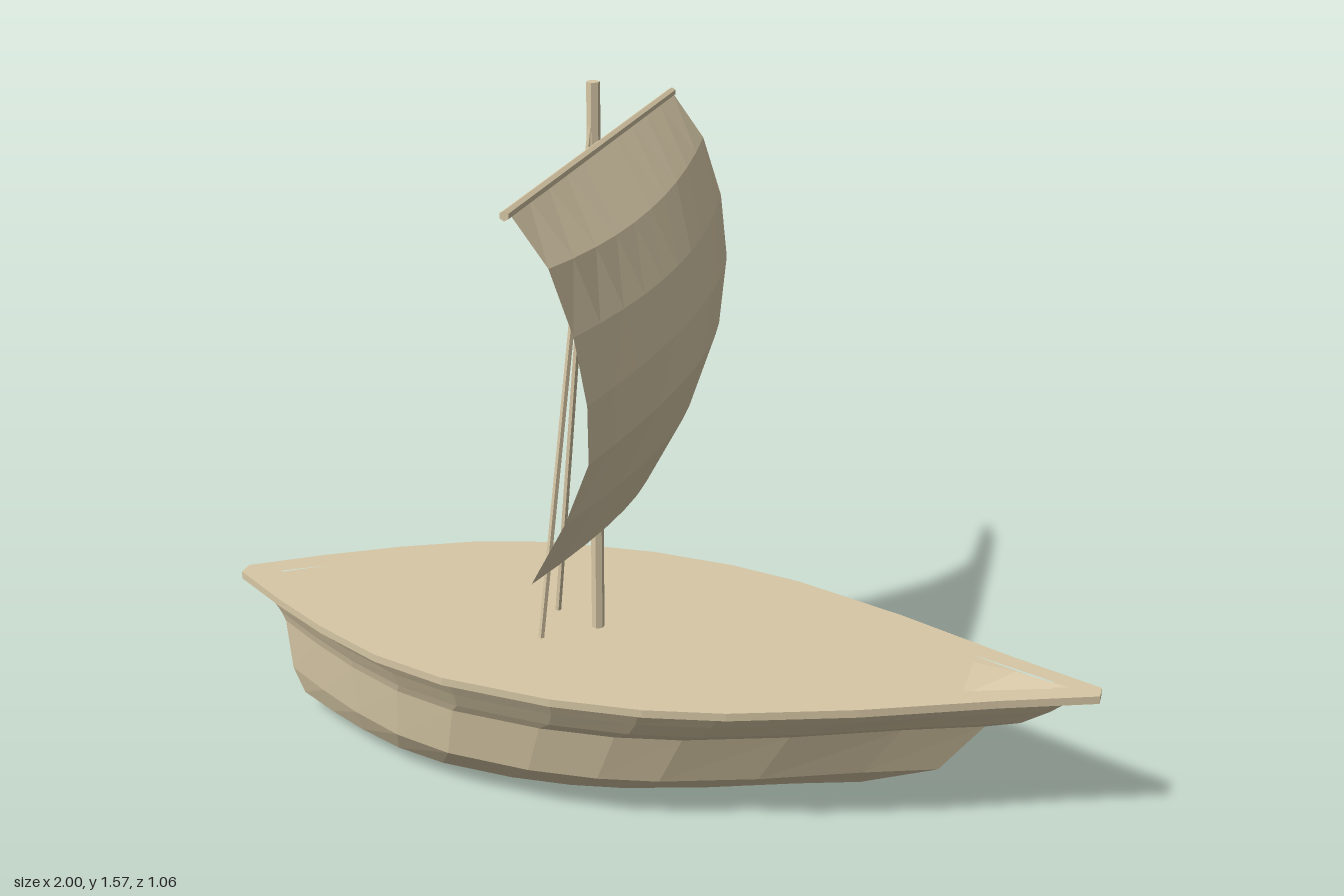
import * as THREE from 'three';

const CZ = -0.027; // centre line of the hull
const wood = new THREE.MeshStandardMaterial({ color: 0xd6c7a5, flatShading: true });
const cloth = new THREE.MeshStandardMaterial({ color: 0xdfd0ae, flatShading: true, side: THREE.DoubleSide });

// Plan of the boat: position from stern (-1) to bow (1), and half-width relative to the widest station
const plan = [[-1, 0.05], [-0.85, 0.33], [-0.7, 0.58], [-0.53, 0.81], [-0.35, 0.95], [-0.1, 1],
  [0.1, 0.96], [0.27, 0.86], [0.53, 0.6], [0.8, 0.27], [1, 0.05]];

// Closed outline (x, z) scaled between a stern and a bow position
function outline(stern, bow, half) {
  const side = plan.map(([t, w]) => [stern + (bow - stern) * (t + 1) / 2, w * half]);
  return [...side, ...side.slice().reverse().map(([x, z]) => [x, -z])];
}

// Quads between successive rows of [x, y, z] points
function loft(rows, closed) {
  const n = rows[0].length, index = [];
  for (let r = 0; r < rows.length - 1; r++) {
    for (let i = 0; i < (closed ? n : n - 1); i++) {
      const a = r * n + i, b = r * n + (i + 1) % n;
      index.push(a, b, b + n, a, b + n, a + n);
    }
  }
  const g = new THREE.BufferGeometry();
  g.setAttribute('position', new THREE.Float32BufferAttribute(rows.flat(2), 3));
  g.setIndex(index);
  g.computeVertexNormals();
  return g;
}

function add(group, name, geometry, material = wood) {
  const m = new THREE.Mesh(geometry, material);
  m.name = name;
  group.add(m);
  return m;
}

// Straight round bar between two points
function bar(group, name, from, to, radius, sides) {
  const a = new THREE.Vector3(...from), b = new THREE.Vector3(...to);
  const m = add(group, name, new THREE.CylinderGeometry(radius, radius, a.distanceTo(b), sides));
  m.position.copy(a).add(b).multiplyScalar(0.5);
  m.quaternion.setFromUnitVectors(new THREE.Vector3(0, 1, 0), b.sub(a).normalize());
  return m;
}

export function createModel() {
  const boat = new THREE.Group();
  boat.name = 'sailingBoat';

  // Hull levels: y, stern x, bow x, half-width; zero-width levels close the bottom and the deck
  const levels = [[0.005, -0.68, 0.24, 0], [0.005, -0.68, 0.24, 0.135], [0.05, -0.86, 0.5, 0.225],
    [0.115, -0.885, 0.67, 0.285], [0.24, -0.895, 0.765, 0.31], [0.262, -0.905, 0.84, 0.325],
    [0.3, -0.93, 0.9, 0.345], [0.337, -0.96, 0.945, 0.365], [0.337, -0.96, 0.945, 0]];
  add(boat, 'hull', loft(levels.map(([y, s, b, h]) =>
    outline(s, b, h).map(([x, z]) => [x, y, z + CZ])), true));

  // Flat rail with an opening over the deck
  const toPoints = pts => pts.map(([x, z]) => new THREE.Vector2(x, z));
  const railShape = new THREE.Shape(toPoints(outline(-1, 1, 0.376)));
  railShape.holes.push(new THREE.Path(toPoints(outline(-0.91, 0.9, 0.31))));
  const rail = add(boat, 'rail', new THREE.ExtrudeGeometry(railShape, { depth: 0.018, bevelEnabled: false }));
  rail.rotation.x = -Math.PI / 2;
  rail.position.set(0, 0.337, CZ);

  // Small raised wedge at the bow
  const wedge = [0.72, 0.345, 0.085, 0.94, 0.354, 0, 0.72, 0.345, -0.07, 0.82, 0.375, 0];
  const bow = new THREE.BufferGeometry();
  bow.setAttribute('position', new THREE.Float32BufferAttribute(wedge, 3));
  bow.setIndex([0, 1, 3, 1, 2, 3, 2, 0, 3]);
  bow.computeVertexNormals();
  add(boat, 'bowWedge', bow).position.z = CZ;

  // Mast, yard and the two stays
  const mast = add(boat, 'mast', new THREE.CylinderGeometry(0.0145, 0.0145, 1.24, 6));
  mast.position.set(-0.118, 0.957, -0.03);
  bar(boat, 'yard', [-0.1, 1.45, -0.53], [-0.1, 1.45, 0.53], 0.01, 6);
  bar(boat, 'leftStay', [-0.12, 1.5, -0.025], [-0.222, 0.335, 0.06], 0.007, 5);
  bar(boat, 'rightStay', [-0.12, 1.5, -0.03], [-0.232, 0.335, -0.08], 0.007, 5);

  // Billowing sail; rows: centre x, centre y, edge x, edge y, half-width
  const sailRows = [[-0.1, 1.45, -0.1, 1.45, 0.518], [0.01, 1.325, -0.025, 1.35, 0.518],
    [0.07, 1.21, 0.02, 1.22, 0.513], [0.098, 1.095, 0.04, 1.08, 0.498], [0.098, 0.975, 0.033, 0.95, 0.473],
    [0.06, 0.835, -0.03, 0.8, 0.437], [-0.02, 0.68, -0.12, 0.635, 0.393]];
  const steps = 10;
  add(boat, 'sail', loft(sailRows.map(([cx, cy, ex, ey, h]) =>
    Array.from({ length: steps + 1 }, (_, i) => {
      const u = i / steps * 2 - 1, k = u * u;
      return [cx + (ex - cx) * k, cy + (ey - cy) * k, u * h - 0.012];
    })), false), cloth);

  return boat;
}
